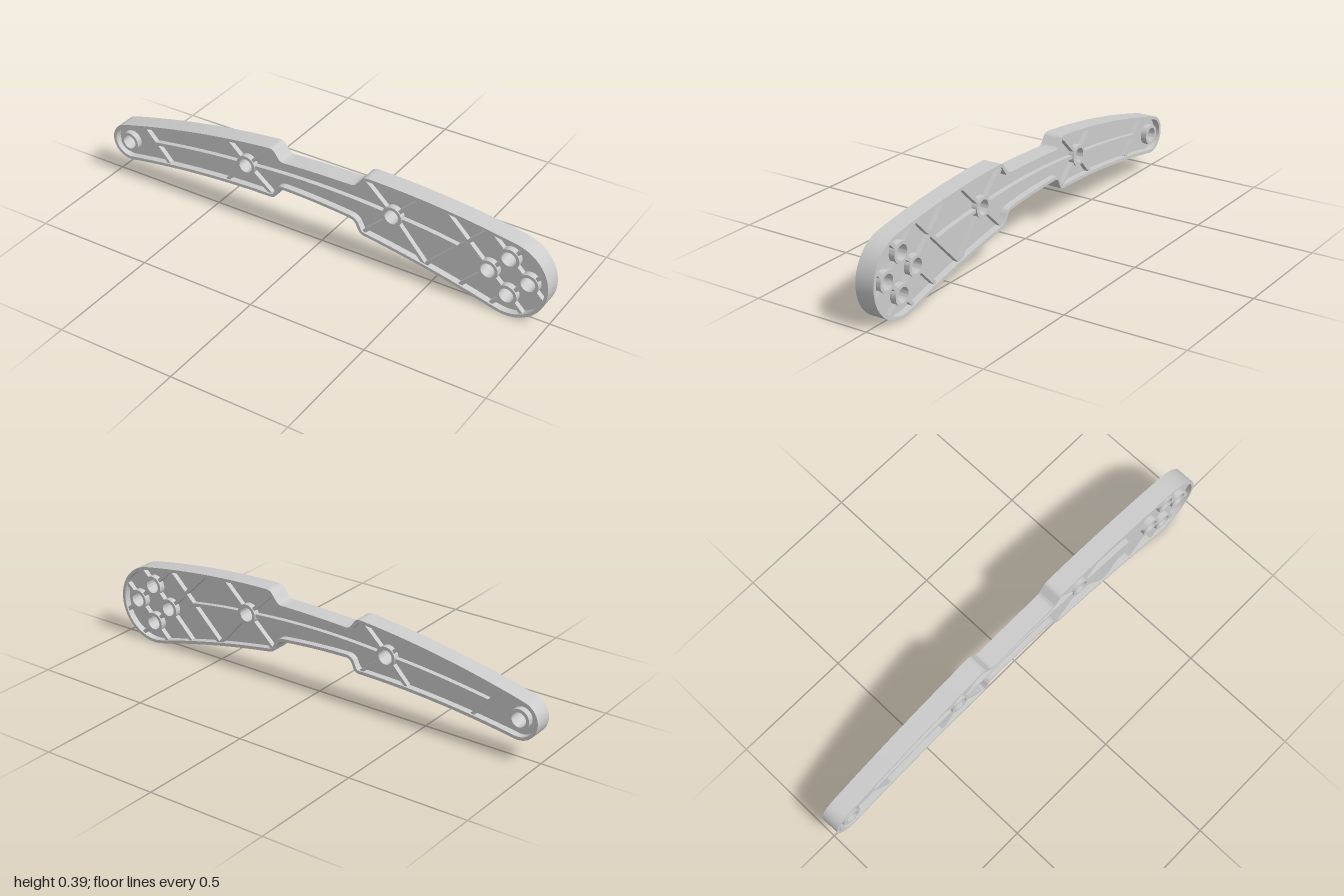
import * as THREE from 'three';
import { toCreasedNormals } from 'three/addons/utils/BufferGeometryUtils.js';

const V = (x, y) => new THREE.Vector2(x, y);
const HOLE = 0.03, BOSS = 0.043, RIM = 0.013, RIB = 0.014;
const material = new THREE.MeshStandardMaterial({ color: 0xcccccc });

// Outer silhouette, counter-clockwise
function outlinePoints() {
  const s = new THREE.Shape();
  s.absarc(-0.92, 0.17, 0.08, 1.82, 4.89, false);
  s.quadraticCurveTo(-0.56, 0.15, -0.22, 0.152);
  s.quadraticCurveTo(-0.2, 0.152, -0.192, 0.165);
  s.lineTo(-0.18, 0.192);
  s.quadraticCurveTo(-0.172, 0.205, -0.155, 0.205);
  s.quadraticCurveTo(0, 0.203, 0.152, 0.186);
  s.quadraticCurveTo(0.17, 0.183, 0.178, 0.17);
  s.lineTo(0.192, 0.142);
  s.quadraticCurveTo(0.2, 0.129, 0.217, 0.126);
  s.quadraticCurveTo(0.5, 0.085, 0.795, 0.004);
  s.absarc(0.833, 0.167, 0.167, -1.8, 1.36, false);
  s.quadraticCurveTo(0.55, 0.388, 0.23, 0.392);
  s.quadraticCurveTo(0.212, 0.392, 0.203, 0.38);
  s.lineTo(0.18, 0.35);
  s.quadraticCurveTo(0.172, 0.341, 0.155, 0.34);
  s.quadraticCurveTo(0, 0.34, -0.15, 0.331);
  s.quadraticCurveTo(-0.167, 0.33, -0.176, 0.342);
  s.lineTo(-0.194, 0.367);
  s.quadraticCurveTo(-0.203, 0.38, -0.225, 0.377);
  s.quadraticCurveTo(-0.58, 0.345, -0.94, 0.2476);
  const pts = s.getPoints(20);
  return pts.filter((p, i) => p.distanceTo(pts[(i + 1) % pts.length]) > 0.0005);
}

// Move every point sideways along the local normal (positive = left of travel)
function offset(pts, d, closed) {
  const n = pts.length;
  return pts.map((p, i) => {
    const a = closed ? pts[(i + n - 1) % n] : pts[Math.max(i - 1, 0)];
    const b = closed ? pts[(i + 1) % n] : pts[Math.min(i + 1, n - 1)];
    const t = b.clone().sub(a).normalize();
    return V(p.x - t.y * d, p.y + t.x * d);
  });
}

function inside(p, poly) {
  let hit = false;
  poly.forEach((a, i) => {
    const b = poly[(i + 1) % poly.length];
    if ((a.y > p.y) !== (b.y > p.y) && p.x < a.x + (b.x - a.x) * (p.y - a.y) / (b.y - a.y)) hit = !hit;
  });
  return hit;
}

const circle = (c, r) => new THREE.Path().absarc(c.x, c.y, r, 0, Math.PI * 2, false);

export function createModel() {
  const group = new THREE.Group();

  // Slab of given thickness, centred on z = 0
  function slab(name, pts, holes, thickness) {
    const shape = new THREE.Shape(pts);
    shape.holes = holes;
    const flat = new THREE.ExtrudeGeometry(shape, { depth: thickness, bevelEnabled: false, curveSegments: 16 });
    flat.translate(0, 0, -thickness / 2);
    const mesh = new THREE.Mesh(toCreasedNormals(flat, 0.5), material);
    mesh.name = name;
    group.add(mesh);
  }

  const outer = outlinePoints();
  const inner = offset(outer, RIM, true);
  const leftEnd = V(-0.92, 0.17), midLeft = V(-0.335, 0.255), midRight = V(0.335, 0.255);
  const top = V(0.833, 0.252), right = V(0.917, 0.17), bottom = V(0.833, 0.088), left = V(0.75, 0.17);
  const centres = [leftEnd, midLeft, midRight, top, right, bottom, left];

  // Rim wall, thin web and bored bosses
  slab('rim', outer, [new THREE.Path(inner)], 0.08);
  slab('web', offset(outer, RIM / 2, true), centres.map(c => circle(c, HOLE + 0.002)), 0.024);
  centres.forEach(c => slab('boss', circle(c, BOSS).getPoints(16).slice(0, -1), [circle(c, HOLE)], 0.076));

  // Rib strip following a row of points
  const rib = pts => slab('rib',
    [...offset(pts, -RIB / 2, false), ...offset(pts, RIB / 2, false).reverse()], [], 0.066);
  const step = (a, b, d) => a.clone().add(b.clone().sub(a).normalize().multiplyScalar(d));
  const trim = HOLE + 0.006;

  // Straight rib from a start point until it meets the rim
  function toRim(from, towards, start) {
    let d = start;
    while (d < 1 && inside(step(from, towards, d), inner)) d += 0.001;
    if (d > start + 0.005) rib([step(from, towards, start), step(from, towards, d + 0.002)]);
  }

  // Diagonal dividers across both arms
  [[V(-0.788, 0.203), V(-0.72, 0.13)], [V(0.62, 0.222), V(0.48, 0.085)]].forEach(([p, q]) => {
    toRim(p, q, 0);
    toRim(p, p.clone().multiplyScalar(2).sub(q), 0);
  });

  // Crossed ribs around the two middle bosses
  [V(-0.44, 0.35), V(-0.215, 0.37), V(-0.44, 0.145), V(-0.21, 0.155)].forEach(q => toRim(midLeft, q, trim));
  [V(0.2, 0.38), V(0.465, 0.378), V(0.2, 0.13), V(0.475, 0.095)].forEach(q => toRim(midRight, q, trim));

  // Curved spine, in three spans
  [
    [V(-0.788, 0.203), V(-0.56, 0.24), step(midLeft, V(-0.56, 0.238), trim)],
    [step(midLeft, V(0, 0.28), trim), V(0, 0.283), step(midRight, V(0, 0.28), trim)],
    [step(midRight, V(0.5, 0.243), trim), V(0.5, 0.243), V(0.62, 0.222)],
  ].forEach(([a, b, c]) => rib(new THREE.QuadraticBezierCurve(a, b, c).getPoints(16)));

  // Diamond of ribs joining the four end bosses, each continued out to the rim
  [[top, right], [left, bottom], [left, top], [bottom, right]].forEach(([a, b]) => {
    rib([step(a, b, trim), step(b, a, trim)]);
    toRim(a, a.clone().multiplyScalar(2).sub(b), trim);
    toRim(b, b.clone().multiplyScalar(2).sub(a), trim);
  });

  return group;
}
